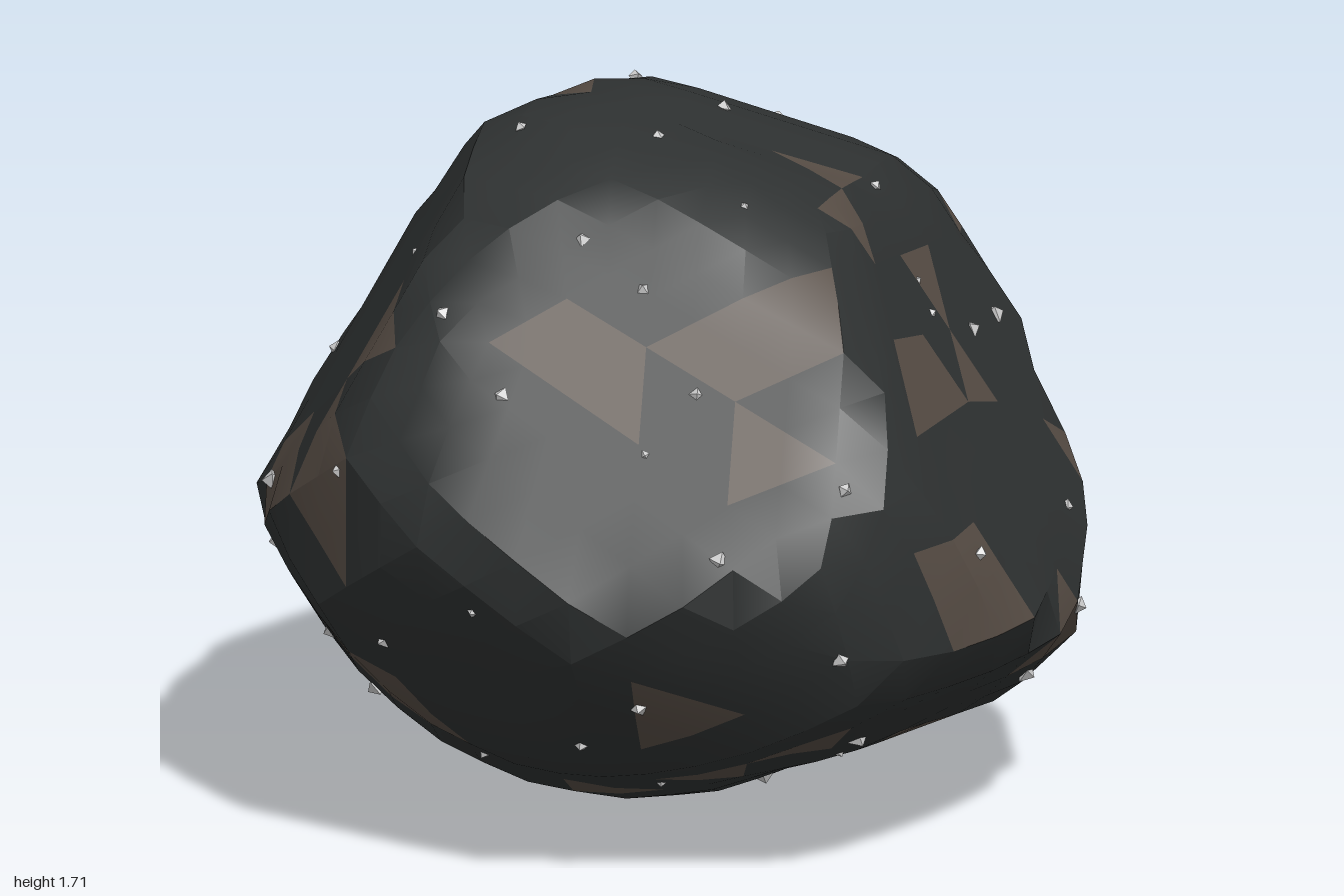
import * as THREE from 'three';
import { toCreasedNormals } from 'three/addons/utils/BufferGeometryUtils.js';

const centre = new THREE.Vector3(0, 0.85, 0);

// A carving direction (degrees): outline radii at equal angles around the centre,
// and the brown patches (u, v pairs) on the side facing that direction
function carver(azimuth, elevation, radii, patches = []) {
  const a = THREE.MathUtils.degToRad(azimuth), e = THREE.MathUtils.degToRad(elevation);
  return {
    right: new THREE.Vector3(Math.cos(a), 0, -Math.sin(a)),
    up: new THREE.Vector3(-Math.sin(e) * Math.sin(a), Math.cos(e), -Math.sin(e) * Math.cos(a)),
    out: new THREE.Vector3(Math.cos(e) * Math.sin(a), Math.sin(e), Math.cos(e) * Math.cos(a)),
    radii, patches,
  };
}

const carvers = [
  // front
  carver(0, 0, [.96, .89, .84, .81, .82, .91, .85, .81, .86, 1.07, .97, .88, .84, .78, .84, 1.03],
    [-.32, 1.26, .05, 1.31, .17, 1.23, .3, 1.28, .62, 1.36, -.42, 1.03, -.55, .88]),
  // side
  carver(90, 0, [.97, 1, .92, .86, .85, .88, .87, .9, .99, .9, .86, .85, .84, .87, .98, 1.06],
    [-.33, 1.33, -.02, 1.1, .16, 1.07, -.15, .62, .02, .65]),
  // top
  carver(0, 90, [.99, .98, .99, 1.04, .99, 1.07, 1.08, .95, .98, 1.04, 1, .96, .99, 1, 1.03, 1],
    [-.35, .66, -.38, .08]),
  // front corner, raised
  carver(35, 22, [.97, .88, .94, .91, .96, .96, .95, .97, 1.04, .94, .88, .83, .79, .79, .86, 1.02]),
  // back corner, raised
  carver(215, 22, [1.04, 1.03, .96, .87, .83, .86, .77, .73, .82, 1.05, .98, .91, .89, .93, .98, 1.05],
    [.47, 1.43, -.37, .8, -.28, .59, .23, .71]),
  // back corner, lowered
  carver(145, -22, [1.03, 1.03, .98, .86, .76, .8, .86, .98, 1.04, .94, .87, .87, .89, .92, 1.03, 1.09],
    [-.26, .32, -.02, .21]),
];

// Broad flat faces: normal and distance from the centre
const cuts = [
  new THREE.Plane(new THREE.Vector3(.41, .59, .69), .755), // front upper corner
  new THREE.Plane(new THREE.Vector3(.77, .48, -.42), .70), // side and back
  new THREE.Plane(new THREE.Vector3(.505, .84, .194), .81), // shoulder
  new THREE.Plane(new THREE.Vector3(-.69, .506, .525), .81), // opposite front corner
];

// Seeded random numbers from 0 to 1
function makeRandom(seed) {
  return () => {
    seed = (seed * 16807) % 2147483647;
    return seed / 2147483647;
  };
}

// Distance from the centre to one outline, along a direction
function reach(c, dir) {
  const u = dir.dot(c.right), v = dir.dot(c.up), count = c.radii.length;
  const turn = (Math.atan2(v, u) / (2 * Math.PI) + 1) * count;
  const i = Math.floor(turn);
  const radius = THREE.MathUtils.lerp(c.radii[i % count], c.radii[(i + 1) % count], turn - i);
  return radius / Math.max(Math.hypot(u, v), 1e-6);
}

// Surface point of the boulder along a direction: the nearest outline or cut wins
function surfacePoint(dir) {
  const outlines = carvers.map((c) => reach(c, dir));
  const flats = cuts.map((p) => p.constant / Math.max(dir.dot(p.normal), 1e-6));
  return dir.clone().multiplyScalar(Math.min(...outlines, ...flats)).add(centre);
}

// Carve a ball; also note which large triangle of a coarser ball each face lies in
function carveBoulder() {
  const ball = new THREE.IcosahedronGeometry(1, 7);
  const coarse = new THREE.Mesh(new THREE.IcosahedronGeometry(1, 3),
    new THREE.MeshStandardMaterial({ side: THREE.DoubleSide }));
  const ray = new THREE.Raycaster();
  const pos = ball.attributes.position, dir = new THREE.Vector3(), middle = new THREE.Vector3();
  const cells = [];
  for (let i = 0; i < pos.count; i += 3) {
    middle.set(0, 0, 0);
    for (let k = i; k < i + 3; k++) {
      dir.fromBufferAttribute(pos, k).normalize();
      middle.add(dir);
      const p = surfacePoint(dir);
      pos.setXYZ(k, p.x, p.y, p.z);
    }
    ray.set(new THREE.Vector3(), middle.normalize());
    cells.push(ray.intersectObject(coarse)[0].faceIndex);
  }
  return { geo: toCreasedNormals(ball, 0.4), cells };
}

// Copy the chosen triangles into their own geometry
function pickFaces(geo, keep) {
  const out = new THREE.BufferGeometry();
  for (const name of ['position', 'normal']) {
    const src = geo.attributes[name].array, data = [];
    for (let f = 0; f < src.length / 9; f++) if (keep(f)) data.push(...src.slice(f * 9, f * 9 + 9));
    out.setAttribute(name, new THREE.Float32BufferAttribute(data, 3));
  }
  return out;
}

// Large triangles that are brown: the placed patches and a seeded scatter
function findPatches(geo, cells, random) {
  const solid = new THREE.Mesh(geo, new THREE.MeshStandardMaterial());
  const ray = new THREE.Raycaster();
  const brown = new Set();
  for (const c of carvers) {
    for (let i = 0; i < c.patches.length; i += 2) {
      const from = c.out.clone().multiplyScalar(5)
        .addScaledVector(c.right, c.patches[i]).addScaledVector(c.up, c.patches[i + 1]);
      ray.set(from, c.out.clone().negate());
      for (const hit of ray.intersectObject(solid)) brown.add(cells[hit.faceIndex]);
    }
  }
  for (let cell = 0; cell <= Math.max(...cells); cell++) if (random() < 0.1) brown.add(cell);
  return brown;
}

export function createModel() {
  const group = new THREE.Group();
  group.name = 'boulder';
  const random = makeRandom(4711);

  // Dark stone with brown triangular patches
  const { geo, cells } = carveBoulder();
  const brown = findPatches(geo, cells, random);
  const rock = new THREE.Mesh(pickFaces(geo, (f) => !brown.has(cells[f])),
    new THREE.MeshStandardMaterial({ color: 0x2e3131 }));
  rock.name = 'rock';
  const patches = new THREE.Mesh(pickFaces(geo, (f) => brown.has(cells[f])),
    new THREE.MeshStandardMaterial({ color: 0x564c44 }));
  patches.name = 'brownPatches';
  group.add(rock, patches);

  // Small crystals scattered over the surface along a jittered spiral
  const crystals = new THREE.Group();
  crystals.name = 'crystals';
  const gem = new THREE.OctahedronGeometry(1);
  const gemMaterial = new THREE.MeshStandardMaterial({ color: 0xcccccc, flatShading: true });
  const total = 60;
  for (let i = 0; i < total; i++) {
    const polar = Math.acos(1 - (2 * (i + random())) / total);
    const dir = new THREE.Vector3().setFromSphericalCoords(1, polar, i * 2.4 + random());
    const crystal = new THREE.Mesh(gem, gemMaterial);
    crystal.name = 'crystal';
    crystal.position.copy(surfacePoint(dir)).addScaledVector(dir, -0.006);
    crystal.quaternion.setFromUnitVectors(crystal.up, dir);
    crystal.rotateY(random() * Math.PI);
    const s = 0.015 + 0.014 * random();
    crystal.scale.set(s, s * 0.9, s);
    crystals.add(crystal);
  }
  group.add(crystals);
  return group;
}
